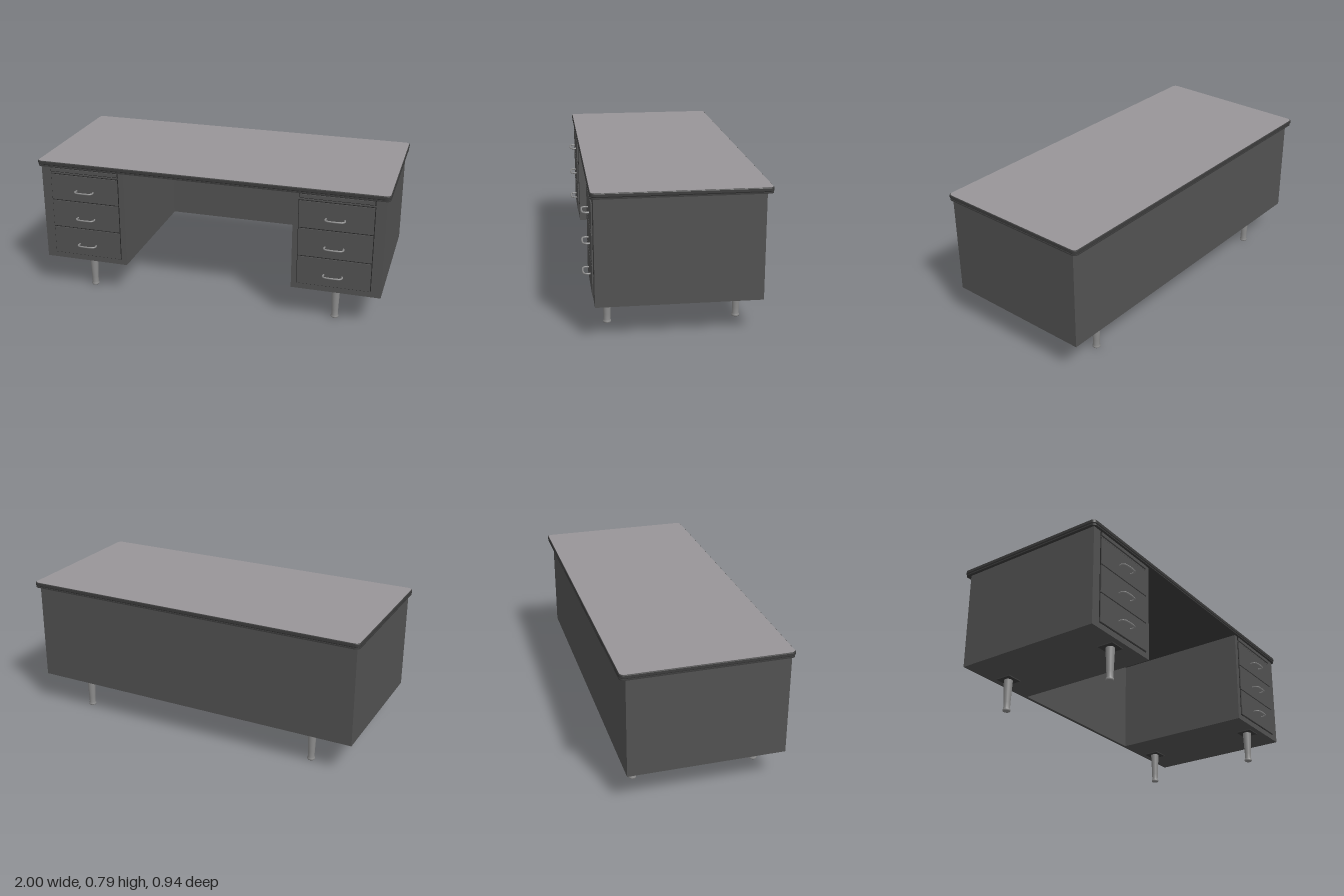
import * as THREE from 'three';

const mat = (name, color) => {
  const m = new THREE.MeshStandardMaterial({ color });
  m.name = name;
  return m;
};

export function createModel() {
  const steel = mat('dark grey steel', 0x525252);
  const trim = mat('dark edge trim', 0x3c3c3c);
  const gap = mat('shadow gap', 0x262626);
  const laminate = mat('grey laminate', 0x989598);
  const metal = mat('brushed metal', 0x8c8c8c);

  const desk = new THREE.Group();
  desk.name = 'desk';

  const add = (parent, name, geometry, material, x = 0, y = 0, z = 0) => {
    const mesh = new THREE.Mesh(geometry, material);
    mesh.name = name;
    mesh.position.set(x, y, z);
    parent.add(mesh);
    return mesh;
  };
  // Box given by its extents
  const box = (parent, name, material, x0, x1, y0, y1, z0, z1) =>
    add(parent, name, new THREE.BoxGeometry(x1 - x0, y1 - y0, z1 - z0), material,
      (x0 + x1) / 2, (y0 + y1) / 2, (z0 + z1) / 2);

  // Horizontal slab with rounded corners, inset from the table outline
  const slab = (name, material, inset, y0, y1, bevel = 0) => {
    const w = 1 - inset - bevel, d = 0.455 - inset - bevel, r = 0.024 - bevel;
    const s = new THREE.Shape();
    s.moveTo(-w + r, -d);
    s.lineTo(w - r, -d);
    s.absarc(w - r, -d + r, r, -Math.PI / 2, 0);
    s.lineTo(w, d - r);
    s.absarc(w - r, d - r, r, 0, Math.PI / 2);
    s.lineTo(-w + r, d);
    s.absarc(-w + r, d - r, r, Math.PI / 2, Math.PI);
    s.lineTo(-w, -d + r);
    s.absarc(-w + r, -d + r, r, Math.PI, Math.PI * 1.5);
    const g = new THREE.ExtrudeGeometry(s, {
      depth: y1 - y0 - 2 * bevel, curveSegments: 6, bevelEnabled: bevel > 0,
      bevelSize: bevel, bevelThickness: bevel, bevelSegments: 2,
    });
    g.rotateX(-Math.PI / 2);
    add(desk, name, g, material, 0, y0 + bevel, -0.018);
  };

  // Table top: lower lip, groove, rounded edge band and laminate surface
  slab('topLowerLip', trim, 0.002, 0.755, 0.762);
  slab('topGroove', gap, 0.007, 0.761, 0.766);
  slab('topEdgeBand', trim, 0, 0.765, 0.786, 0.004);
  slab('topSurface', laminate, 0.004, 0.785, 0.7875);

  // Full-width back panel
  box(desk, 'backPanel', steel, -0.98, 0.98, 0.19, 0.756, -0.44, -0.42);

  // Shared handle and leg geometry
  const bow = new THREE.CatmullRomCurve3([
    [-0.05, 0, 0], [-0.053, 0, 0.018], [-0.043, 0, 0.032], [-0.02, 0, 0.036],
    [0.02, 0, 0.036], [0.043, 0, 0.032], [0.053, 0, 0.018], [0.05, 0, 0],
  ].map((p) => new THREE.Vector3(...p)));
  const handleGeo = new THREE.TubeGeometry(bow, 28, 0.005, 6);
  const legGeo = new THREE.LatheGeometry([
    [0, 0], [0.019, 0], [0.022, 0.004], [0.022, 0.011], [0.018, 0.017],
    [0.019, 0.05], [0.025, 0.186],
  ].map((p) => new THREE.Vector2(...p)), 16);

  for (const side of [-1, 1]) {
    const pedestal = new THREE.Group();
    pedestal.name = side > 0 ? 'leftPedestal' : 'rightPedestal';
    pedestal.position.x = side * 0.7325;
    desk.add(pedestal);

    // Case and the dark recess behind the drawer fronts
    box(pedestal, 'case', steel, -0.2475, 0.2475, 0.19, 0.756, -0.42, 0.42);
    const inner = -side * 0.2175, outer = side * 0.1925;
    const x0 = Math.min(inner, outer), x1 = Math.max(inner, outer);
    box(pedestal, 'drawerGap', gap, x0, x1, 0.222, 0.752, 0.419, 0.422);

    // Pull-out board and three drawer fronts
    box(pedestal, 'pullOutBoard', steel, x0 + 0.005, x1 - 0.005, 0.729, 0.748, 0.42, 0.428);
    box(pedestal, 'frontRail', steel, x0, x1, 0.716, 0.724, 0.419, 0.424);
    [[0.559, 0.711], [0.394, 0.552], [0.226, 0.387]].forEach(([y0, y1], i) => {
      box(pedestal, 'drawerFront', steel, x0 + 0.004, x1 - 0.004, y0, y1, 0.42, 0.428);
      add(pedestal, 'drawerHandle', handleGeo, metal, -side * 0.015, 0.623 - i * 0.165, 0.428);
    });

    // Tapered legs with square mounting plates
    for (const z of [0.343, -0.35]) {
      const x = -side * 0.0085;
      add(pedestal, 'leg', legGeo, metal, x, 0, z);
      box(pedestal, 'legPlate', trim, x - 0.046, x + 0.046, 0.184, 0.191, z - 0.046, z + 0.046);
    }
  }
  return desk;
}
